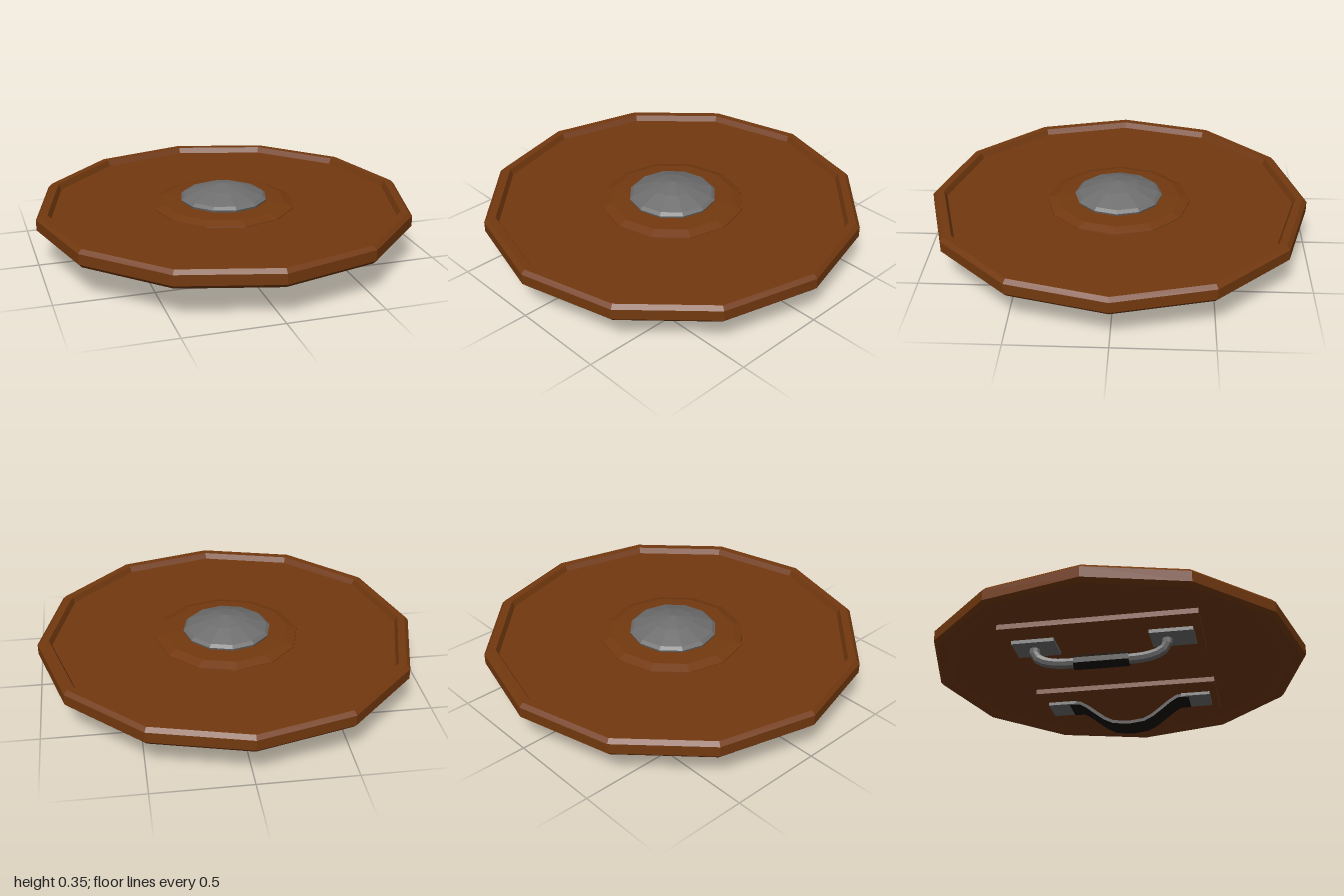
import * as THREE from 'three';

const flat = (color) => new THREE.MeshStandardMaterial({ color, flatShading: true });
const wood = flat(0x73390f);
const metal = flat(0x6e6e6e);
const leather = flat(0x17100b);

function add(parent, name, geometry, material, x = 0, y = 0, z = 0) {
  const mesh = new THREE.Mesh(geometry, material);
  mesh.name = name;
  mesh.position.set(x, y, z);
  parent.add(mesh);
  return mesh;
}

// Twelve-sided turned part from [radius, height] pairs
const turned = (profile) =>
  new THREE.LatheGeometry(profile.map(([r, y]) => new THREE.Vector2(r, y)), 12);

// Flat band following a path in the z-y plane, with its width along x
function band(path, width, thickness) {
  const lower = path.map(([z, y]) => new THREE.Vector2(z, y));
  const upper = lower.map((p, i) => {
    const a = lower[Math.max(i - 1, 0)];
    const b = lower[Math.min(i + 1, lower.length - 1)];
    const t = b.clone().sub(a).normalize();
    return new THREE.Vector2(p.x - t.y * thickness, p.y + t.x * thickness);
  });
  const geometry = new THREE.ExtrudeGeometry(
    new THREE.Shape([...lower, ...upper.reverse()]),
    { depth: width, bevelEnabled: false });
  return geometry.translate(0, 0, -width / 2).rotateY(-Math.PI / 2);
}

export function createModel() {
  const shield = new THREE.Group();
  shield.name = 'roundShield';

  // Disc with a raised rim and a recessed panel on both faces
  add(shield, 'disc', turned([
    [0, 0.19], [0.91, 0.19], [0.93, 0.175], [0.98, 0.175], [1, 0.195],
    [1, 0.25], [0.98, 0.27], [0.94, 0.27], [0.925, 0.24], [0, 0.24],
  ]), wood);

  // Raised wooden ring and metal boss in the centre
  add(shield, 'centreRing', turned([
    [0.382, 0.235], [0.38, 0.245], [0.33, 0.262], [0.2, 0.268],
  ]), wood);
  add(shield, 'boss', turned([
    [0.222, 0.25], [0.232, 0.278], [0.215, 0.293], [0.11, 0.332], [0, 0.355],
  ]), metal);

  // Backing boards under the two handles
  for (const [name, x] of [['gripBoard', -0.41], ['strapBoard', 0.39]])
    add(shield, name, new THREE.BoxGeometry(0.42, 0.035, 1), wood, x, 0.18, 0);

  // Metal hand grip with its mounting plates and leather wrap
  const grip = new THREE.Group();
  grip.name = 'handGrip';
  grip.position.x = -0.41;
  shield.add(grip);
  for (const s of [1, -1])
    add(grip, 'gripPlate', new THREE.BoxGeometry(0.16, 0.022, 0.22), metal, 0, 0.154, s * 0.35);
  const half = [[0.34, 0.155], [0.335, 0.105], [0.3, 0.075], [0.23, 0.055], [0.12, 0.05]];
  const points = [...half, ...half.slice().reverse().map(([z, y]) => [-z, y])]
    .map(([z, y]) => new THREE.Vector3(0, y, z - 0.018));
  add(grip, 'gripBar', new THREE.TubeGeometry(
    new THREE.CatmullRomCurve3(points), 22, 0.027, 8), metal);
  const wrap = new THREE.CylinderGeometry(0.037, 0.037, 0.28, 8)
    .rotateY(Math.PI / 8).rotateX(Math.PI / 2);
  add(grip, 'gripWrap', wrap, leather, 0, 0.051, -0.01);

  // Leather arm strap with metal end plates
  const strap = new THREE.Group();
  strap.name = 'armStrap';
  strap.position.x = 0.39;
  shield.add(strap);
  for (const s of [1, -1])
    add(strap, 'strapPlate', new THREE.BoxGeometry(0.16, 0.018, 0.16), metal, 0, 0.154, s * 0.38);
  const side = [[0.34, 0.142], [0.28, 0.14], [0.24, 0.115], [0.19, 0.075],
    [0.14, 0.037], [0.09, 0.012]];
  const path = [...side.map(([z, y]) => [-z, y]), [0, 0.001], ...side.slice().reverse()];
  add(strap, 'strapBand', band(path, 0.155, 0.018), leather);

  return shield;
}
